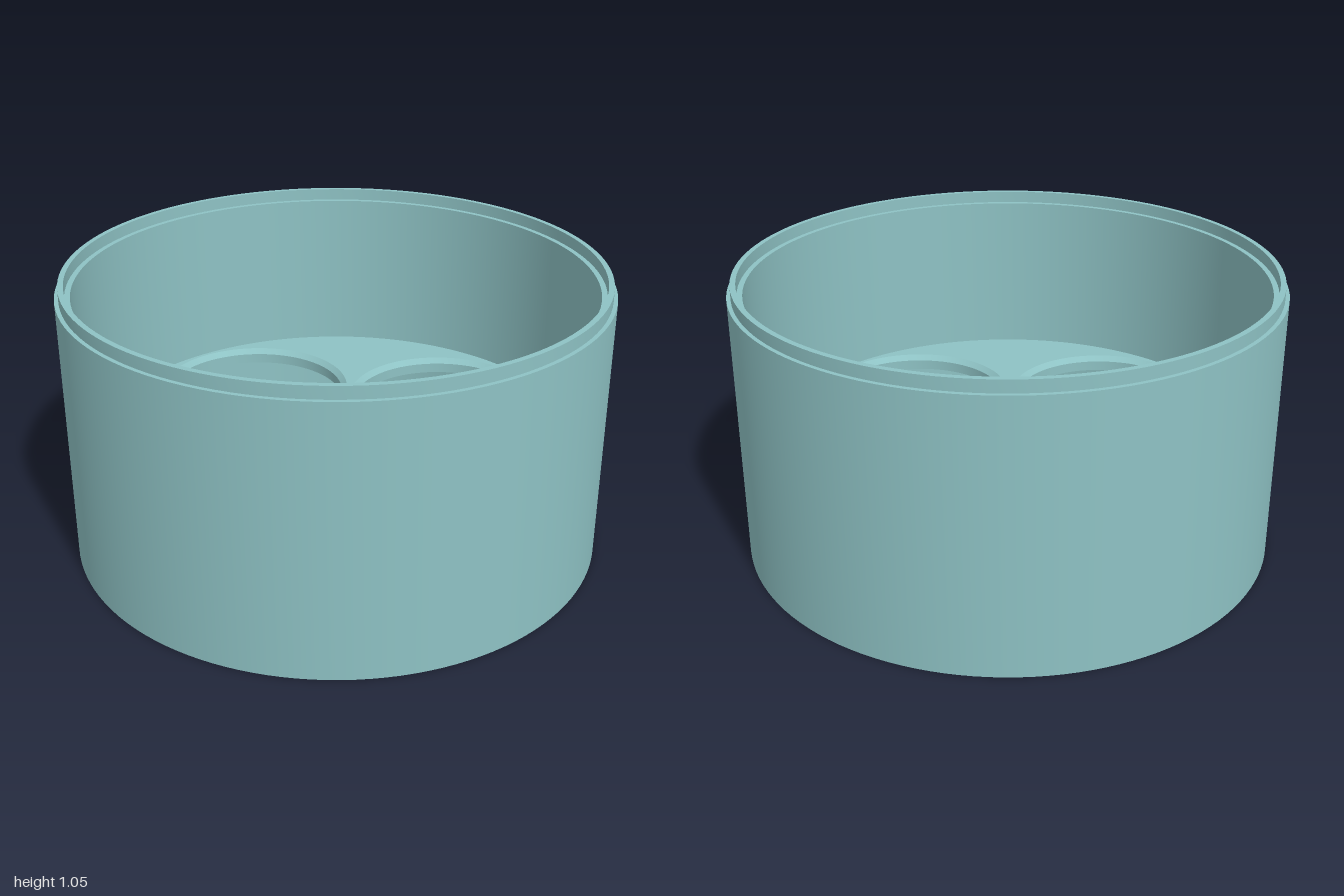
import * as THREE from 'three';
import { toCreasedNormals } from 'three/addons/utils/BufferGeometryUtils.js';

const SEGMENTS = 128;
const HEIGHT = 1.055, LIP = 0.045;
const INNER = 0.945;                       // inside radius of the shell
const PLATE_BOTTOM = 0.32, PLATE_TOP = 0.38;
const HOLE = 0.36, CHAMFER = 0.02, HOLE_OFFSET = 0.55;

// Turned part with crisp profile corners
function turned(profile) {
  const points = profile.map(([r, y]) => new THREE.Vector2(r, y));
  return toCreasedNormals(new THREE.LatheGeometry(points, SEGMENTS), 0.5);
}

export function createModel() {
  const model = new THREE.Group();
  const teal = new THREE.MeshStandardMaterial({ color: 0x8ec2c4 });
  teal.name = 'teal';

  const add = (name, geometry) => {
    const mesh = new THREE.Mesh(geometry, teal);
    mesh.name = name;
    model.add(mesh);
    return mesh;
  };

  // Shell: stacking tongue on the top rim, matching groove in the bottom rim
  const step = HEIGHT - LIP;
  add('shell', turned([
    [1, 0], [1, step], [0.985, step], [0.985, HEIGHT], [0.965, HEIGHT], [0.965, step],
    [INNER, step], [INNER, 0], [0.965, 0], [0.965, LIP], [0.985, LIP], [0.985, 0], [1, 0],
  ]));

  // Plate faces with four round holes
  const centres = [[1, 0], [0, 1], [-1, 0], [0, -1]].map(([x, z]) => [x * HOLE_OFFSET, z * HOLE_OFFSET]);
  const plateFace = (radius) => {
    const shape = new THREE.Shape().absarc(0, 0, INNER, 0, Math.PI * 2);
    for (const [x, z] of centres) {
      shape.holes.push(new THREE.Path().absarc(x, z, radius, 0, Math.PI * 2, true));
    }
    return new THREE.ShapeGeometry(shape, SEGMENTS / 2);
  };
  const top = add('plateTop', plateFace(HOLE + CHAMFER));
  top.rotation.x = -Math.PI / 2;
  top.position.y = PLATE_TOP;
  const bottom = add('plateBottom', plateFace(HOLE));
  bottom.rotation.x = Math.PI / 2;
  bottom.position.y = PLATE_BOTTOM;

  // Hole walls, chamfered at the upper edge
  const wall = turned([
    [HOLE + CHAMFER, PLATE_TOP], [HOLE, PLATE_TOP - CHAMFER], [HOLE, PLATE_BOTTOM],
  ]);
  for (const [x, z] of centres) add('holeWall', wall).position.set(x, 0, z);

  return model;
}
